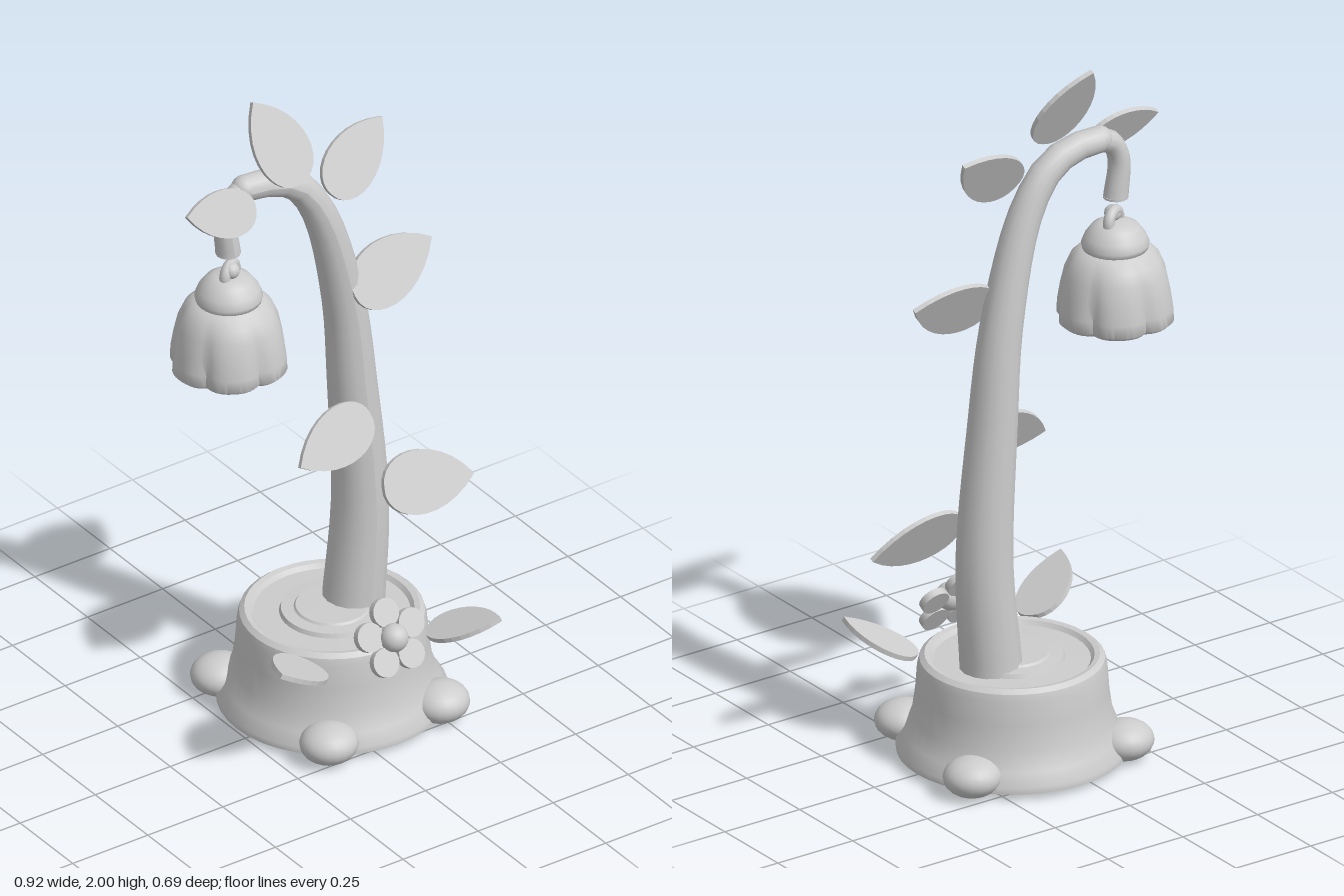
import * as THREE from 'three';
import { toCreasedNormals } from 'three/addons/utils/BufferGeometryUtils.js';

const V = (x, y, z) => new THREE.Vector3(x, y, z);

export function createModel() {
  const model = new THREE.Group();
  const clay = new THREE.MeshStandardMaterial({ color: 0xcccccc });
  clay.name = 'light grey';

  const add = (name, geometry, position = [0, 0, 0], parent = model) => {
    const mesh = new THREE.Mesh(geometry, clay);
    mesh.name = name;
    mesh.position.set(...position);
    parent.add(mesh);
    return mesh;
  };
  const lathe = (profile, segments) =>
    new THREE.LatheGeometry(profile.map(([r, y]) => new THREE.Vector2(r, y)), segments);

  // Flared pot with a shallow dish and a stepped mound of soil
  add('pot', toCreasedNormals(lathe([
    [0, 0.03], [0.3, 0.02], [0.318, 0.022], [0.318, 0.04], [0.295, 0.075], [0.275, 0.13],
    [0.265, 0.2], [0.26, 0.27], [0.254, 0.292], [0.24, 0.303], [0.225, 0.3], [0.215, 0.288],
    [0.145, 0.29], [0.14, 0.302], [0.105, 0.304], [0.1, 0.31], [0, 0.312],
  ], 40), 0.6), [0.06, 0, -0.03]);

  // Four pebble feet
  for (const [x, z] of [[-0.125, 0.22], [0.245, 0.22], [0.31, -0.195], [-0.168, -0.238]]) {
    add('foot', new THREE.SphereGeometry(1, 20, 14), [x, 0.06, z]).scale.set(0.083, 0.056, 0.08);
  }

  // Tapered tube: the radius follows a list of evenly spaced values
  function taperedTube(points, radii, segments, sides) {
    const curve = new THREE.CatmullRomCurve3(points);
    const geometry = new THREE.TubeGeometry(curve, segments, 1, sides);
    const pos = geometry.attributes.position;
    const v = new THREE.Vector3();
    for (let i = 0; i < pos.count; i++) {
      const u = Math.floor(i / (sides + 1)) / segments;
      const k = Math.min(u * (radii.length - 1), radii.length - 1.0001);
      const a = Math.floor(k);
      const r = THREE.MathUtils.lerp(radii[a], radii[a + 1], k - a);
      const c = curve.getPointAt(u);
      v.fromBufferAttribute(pos, i).sub(c).multiplyScalar(r).add(c);
      pos.setXYZ(i, v.x, v.y, v.z);
    }
    geometry.computeVertexNormals();
    return geometry;
  }

  // Arching stem, and the short hook hanging from its end
  add('stem', taperedTube([
    V(0.14, 0.27, -0.045), V(0.16, 0.6, -0.04), V(0.13, 1, -0.035), V(0.095, 1.3, -0.03),
    V(0.01, 1.6, -0.02), V(-0.07, 1.72, -0.02), V(-0.15, 1.757, -0.02), V(-0.235, 1.765, -0.025),
  ], [0.088, 0.082, 0.075, 0.067, 0.057, 0.046, 0.038], 26, 16));
  add('stemTip', new THREE.SphereGeometry(0.038, 14, 10), [-0.235, 1.765, -0.025]);
  add('hook', taperedTube([
    V(-0.225, 1.765, -0.025), V(-0.275, 1.745, -0.025), V(-0.3, 1.69, -0.025), V(-0.29, 1.58, -0.025),
  ], [0.036, 0.03, 0.032, 0.035], 14, 12));
  add('hookEnd', new THREE.CylinderGeometry(0.035, 0.035, 0.006, 12), [-0.29, 1.579, -0.025]);

  // Hanging bell flower; six lobes swell towards the mouth
  const bell = new THREE.Group();
  bell.name = 'bellFlower';
  bell.position.set(-0.288, 0, -0.025);
  model.add(bell);
  const petals = lathe([
    [0, 1.245], [0.12, 1.235], [0.155, 1.215], [0.166, 1.225], [0.164, 1.26], [0.155, 1.31],
    [0.143, 1.36], [0.125, 1.4], [0.1, 1.425], [0.07, 1.435], [0, 1.44],
  ], 60);
  const p = petals.attributes.position;
  for (let i = 0; i < p.count; i++) {
    const lobe = Math.abs(Math.cos(3 * Math.atan2(p.getZ(i), p.getX(i))));
    const depth = 0.12 * THREE.MathUtils.clamp((1.43 - p.getY(i)) / 0.16, 0, 1);
    const s = 1 - depth * Math.pow(1 - lobe, 1.6);
    p.setX(i, p.getX(i) * s);
    p.setZ(i, p.getZ(i) * s);
  }
  petals.computeVertexNormals();
  add('bellPetals', toCreasedNormals(petals, 0.9), [0, 0, 0], bell);
  add('bellCap', lathe([
    [0.07, 1.415], [0.09, 1.425], [0.094, 1.442], [0.085, 1.465], [0.065, 1.492],
    [0.04, 1.506], [0, 1.51],
  ], 28), [0, 0, 0], bell);
  add('bellLoop', new THREE.TorusGeometry(0.032, 0.016, 10, 24), [0.005, 1.505, 0], bell).rotation.y = 0.5;
  add('bellKnob', new THREE.SphereGeometry(0.024, 14, 10), [0, 1.525, 0.012], bell);

  // Leaf of unit length along x, placed by its base, tip and facing direction
  const outline = new THREE.Shape();
  outline.moveTo(0, 0);
  outline.bezierCurveTo(-0.02, -0.34, 0.58, -0.48, 1, 0);
  outline.bezierCurveTo(0.58, 0.48, -0.02, 0.34, 0, 0);
  const leafGeometry = new THREE.ExtrudeGeometry(outline, { depth: 0.014, bevelEnabled: false, curveSegments: 12 });
  leafGeometry.translate(0, 0, -0.007);
  function leaf(name, base, tip, facing) {
    const x = tip.clone().sub(base);
    const length = x.length();
    x.normalize();
    const z = facing.clone().addScaledVector(x, -facing.dot(x)).normalize();
    const y = z.clone().cross(x);
    const mesh = add(name, leafGeometry);
    mesh.quaternion.setFromRotationMatrix(new THREE.Matrix4().makeBasis(x, y, z));
    mesh.position.copy(base);
    mesh.scale.set(length, length, 1);
  }

  // Stem leaves all lean back by the same slope: base x, y, z and tip x, y
  for (const [bx, by, bz, tx, ty] of [
    [0.17, 0.69, 0.055, 0.455, 0.645], [0.125, 0.945, 0.055, -0.13, 0.88],
    [0.09, 1.325, 0.032, 0.37, 1.4], [0.02, 1.675, 0.02, 0.235, 1.815],
    [-0.09, 1.768, 0.042, -0.18, 2.0], [-0.245, 1.73, 0.04, -0.46, 1.775],
  ]) {
    leaf('stemLeaf', V(bx, by, bz), V(tx, ty, bz - 0.48 * (ty - by)), V(0, 0.433, 0.9));
  }

  // Two leaves spreading from the pot rim
  leaf('potLeaf', V(-0.14, 0.285, 0.16), V(-0.333, 0.385, 0.29), V(0.43, 0.9, 0.05));
  leaf('potLeaf', V(0.243, 0.265, 0.165), V(0.362, 0.345, 0.343), V(-0.3, 0.9, -0.22));

  // Five-petalled flower on the pot front
  const flower = new THREE.Group();
  flower.name = 'flower';
  flower.position.set(0.056, 0.352, 0.258);
  flower.rotation.x = -0.5;
  model.add(flower);
  for (let i = 0; i < 5; i++) {
    const a = Math.PI / 2 + (i * Math.PI * 2) / 5;
    const petal = add('flowerPetal', new THREE.CylinderGeometry(0.041, 0.041, 0.022, 20),
      [0.072 * Math.cos(a), 0.072 * Math.sin(a), 0], flower);
    petal.rotation.x = Math.PI / 2;
  }
  add('flowerCentre', new THREE.SphereGeometry(0.04, 20, 14), [0, 0, 0.014], flower);

  return model;
}
